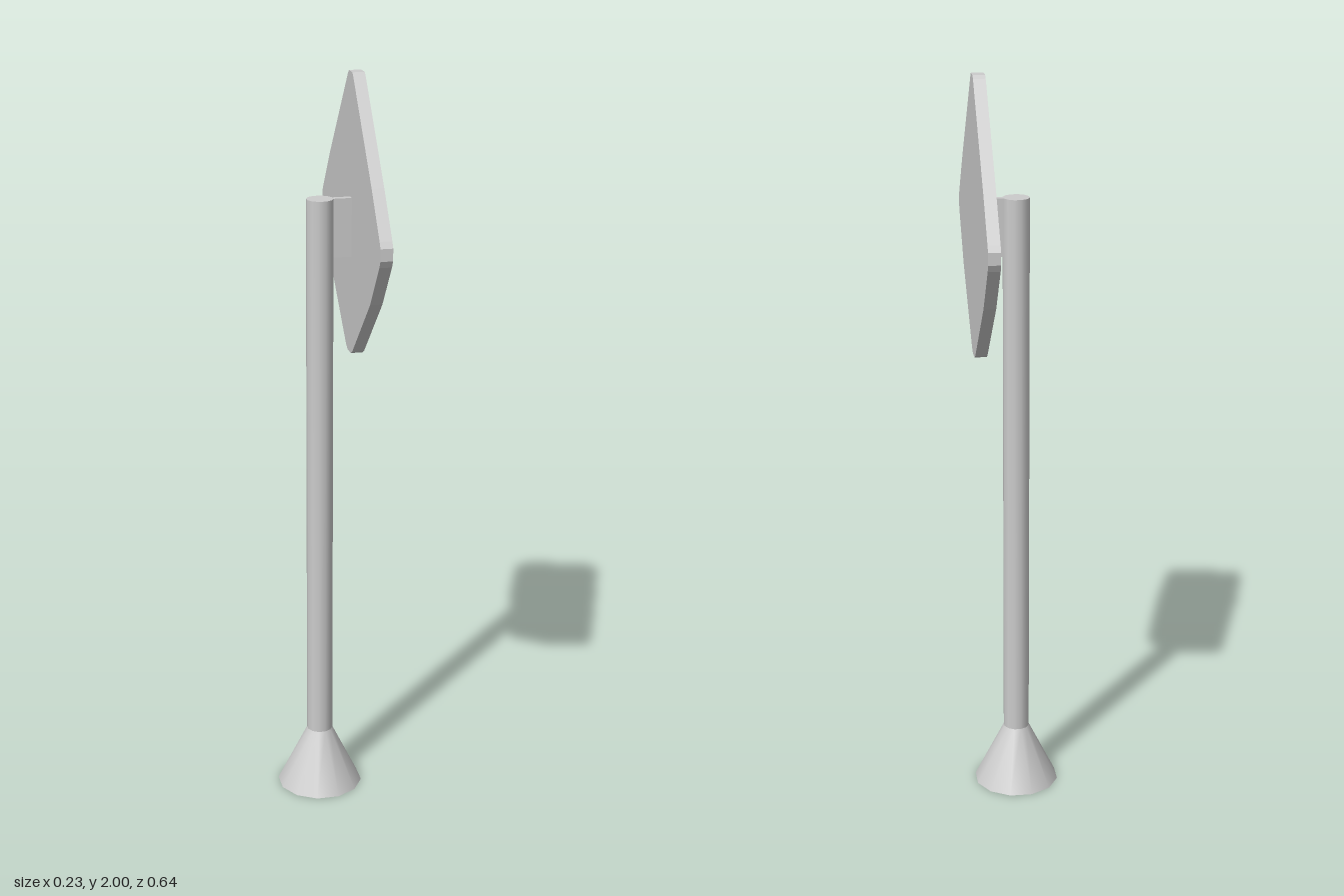
import * as THREE from 'three';

const CX = -0.004, CZ = 0.0125; // post axis
const POST_R = 0.0355, BASE_R = 0.117, BASE_H = 0.165, POST_TOP = 1.68;

export function createModel() {
  const model = new THREE.Group();
  const smooth = new THREE.MeshStandardMaterial({ color: 0xcccccc });
  const flat = new THREE.MeshStandardMaterial({ color: 0xcccccc, flatShading: true });

  const add = (parent, name, geometry, material, x, y, z) => {
    const mesh = new THREE.Mesh(geometry, material);
    mesh.name = name;
    mesh.position.set(x, y, z);
    parent.add(mesh);
    return mesh;
  };

  // Twelve-sided wall made of four smooth quarters with creases between them
  const addWall = (name, rTop, rBottom, y0, y1) => {
    const group = new THREE.Group();
    group.name = name;
    for (let i = 0; i < 4; i++) {
      const quarter = new THREE.CylinderGeometry(rTop, rBottom, y1 - y0, 3, 1, true,
        Math.PI / 4 + i * Math.PI / 2, Math.PI / 2);
      add(group, name + 'Quarter', quarter, smooth, CX, (y0 + y1) / 2, CZ);
    }
    model.add(group);
  };
  addWall('flaredBase', POST_R, BASE_R, 0, BASE_H);
  addWall('post', POST_R, POST_R, BASE_H, POST_TOP);

  // End caps
  const cap = (r, tilt) => new THREE.CircleGeometry(r, 12, Math.PI / 12).rotateX(tilt);
  add(model, 'baseUnderside', cap(BASE_R, Math.PI / 2), flat, CX, 0, CZ);
  add(model, 'postTop', cap(POST_R, -Math.PI / 2), flat, CX, POST_TOP, CZ);

  // Thin bracket joining the post to the panel
  add(model, 'bracket', new THREE.BoxGeometry(0.07, 0.155, 0.017), flat, 0.05, 1.6025, CZ);

  // Diamond panel: half outline from top to bottom, mirrored
  const half = [[0.018, 2], [0.028, 1.992], [0.228, 1.75], [0.312, 1.638], [0.322, 1.622],
    [0.322, 1.59], [0.312, 1.572], [0.222, 1.452], [0.035, 1.272], [0.018, 1.263]];
  const mirrored = half.map(([u, y]) => [-u, y]).reverse();
  const outline = [...half, ...mirrored].map(([u, y]) => new THREE.Vector2(u, y));
  const thickness = 0.032;
  const panel = new THREE.ExtrudeGeometry(new THREE.Shape(outline),
    { depth: thickness, bevelEnabled: false });
  panel.translate(0, 0, -thickness / 2).rotateY(-Math.PI / 2);
  add(model, 'signPanel', panel, flat, 0.094, 0, 0).rotation.y = 0.01;

  return model;
}
